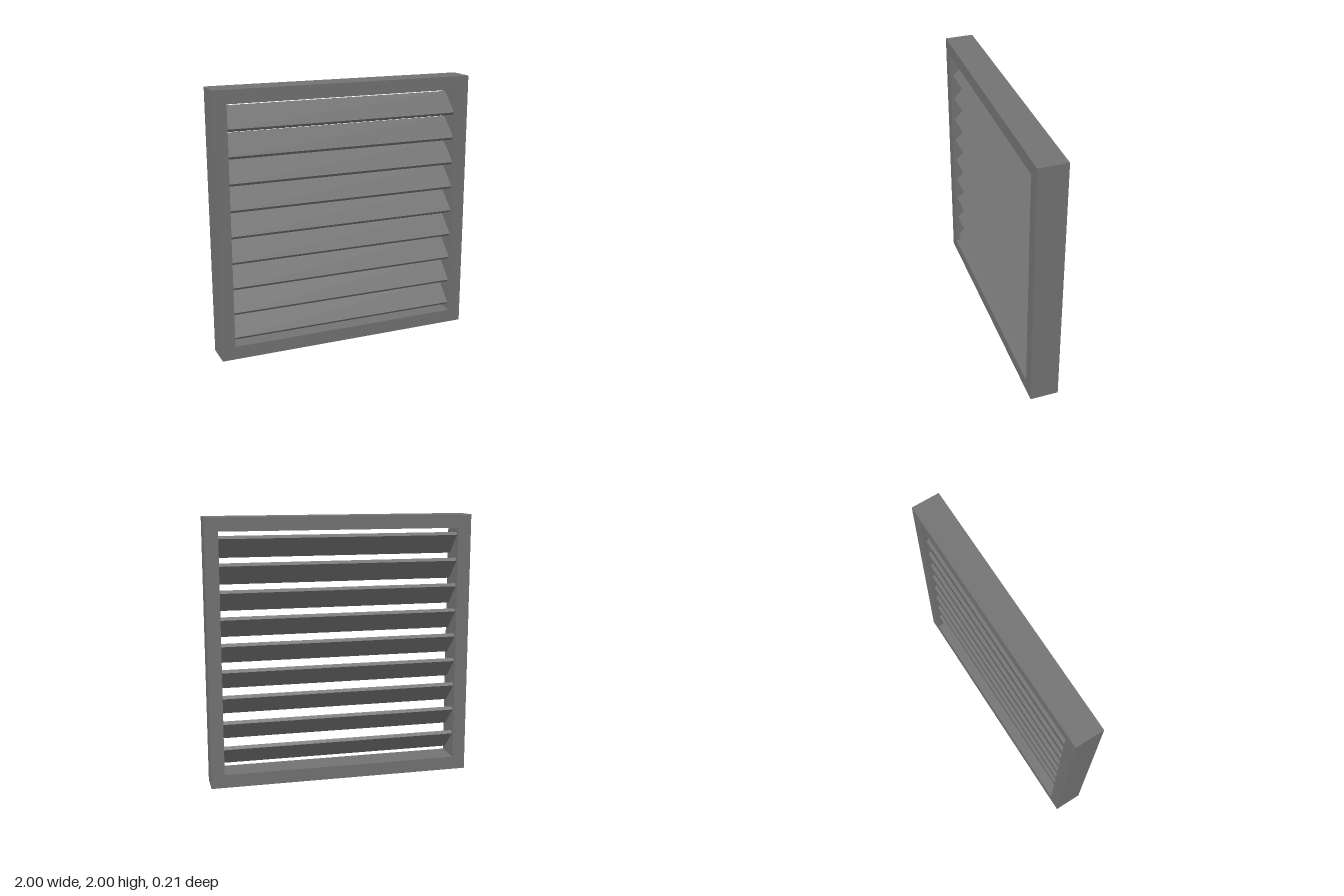
import * as THREE from 'three';

const DEPTH = 0.214, INNER = 0.9;
const SLATS = 9, PITCH = 0.195, SLAT_WIDTH = 0.207, SLAT_THICKNESS = 0.03;

// Closed square path centred on the origin
function square(path, half) {
  path.moveTo(-half, -half);
  path.lineTo(half, -half);
  path.lineTo(half, half);
  path.lineTo(-half, half);
  path.closePath();
  return path;
}

export function createModel() {
  const model = new THREE.Group();
  model.name = 'louvreVent';
  const greyMetal = new THREE.MeshStandardMaterial({ color: 0x727272 });
  greyMetal.name = 'grey metal';

  // Square surround with an open centre
  const outline = square(new THREE.Shape(), 1);
  outline.holes.push(square(new THREE.Path(), INNER));
  const frameGeometry = new THREE.ExtrudeGeometry(outline, { depth: DEPTH, bevelEnabled: false });
  frameGeometry.translate(0, 1, -DEPTH / 2);
  const frame = new THREE.Mesh(frameGeometry, greyMetal);
  frame.name = 'frame';
  model.add(frame);

  // Slats tilted 45 degrees, lower edge towards the front
  const slats = new THREE.Group();
  slats.name = 'slats';
  const slatGeometry = new THREE.BoxGeometry(INNER * 2, SLAT_WIDTH, SLAT_THICKNESS);
  slatGeometry.rotateX(-Math.PI / 4);
  for (let i = 0; i < SLATS; i++) {
    const slat = new THREE.Mesh(slatGeometry, greyMetal);
    slat.name = `slat${i + 1}`;
    slat.position.y = 1.003 + (i - (SLATS - 1) / 2) * PITCH;
    slats.add(slat);
  }
  model.add(slats);
  return model;
}
